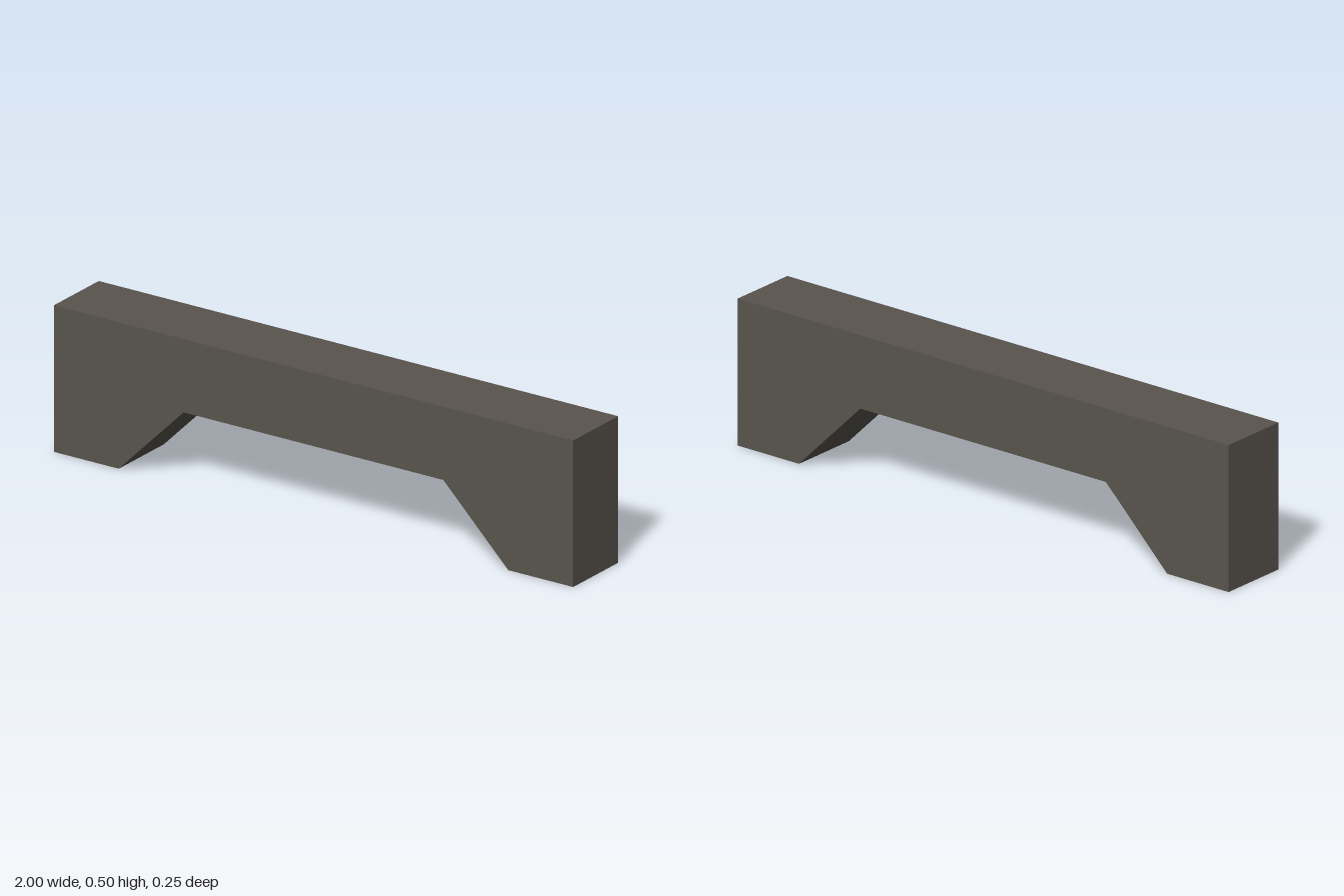
import * as THREE from 'three';

export function createModel() {
  const group = new THREE.Group();
  group.name = 'archBeam';

  const darkStone = new THREE.MeshStandardMaterial({ color: 0x59544d });
  darkStone.name = 'dark stone';

  const depth = 0.25;

  // Half outline from the top corner to the underside of the span, mirrored for the other half
  const half = [[1, 0.5], [1, 0], [0.75, 0], [0.5, 0.25]];
  const mirrored = half.map(([x, y]) => [-x, y]).reverse();
  const outline = [...half, ...mirrored].map(([x, y]) => new THREE.Vector2(x, y));

  // Beam with two splayed feet, extruded front to back
  const geometry = new THREE.ExtrudeGeometry(new THREE.Shape(outline), {
    depth,
    bevelEnabled: false,
  });
  geometry.translate(0, 0, -depth / 2);

  const beam = new THREE.Mesh(geometry, darkStone);
  beam.name = 'beamWithFeet';
  group.add(beam);

  return group;
}
